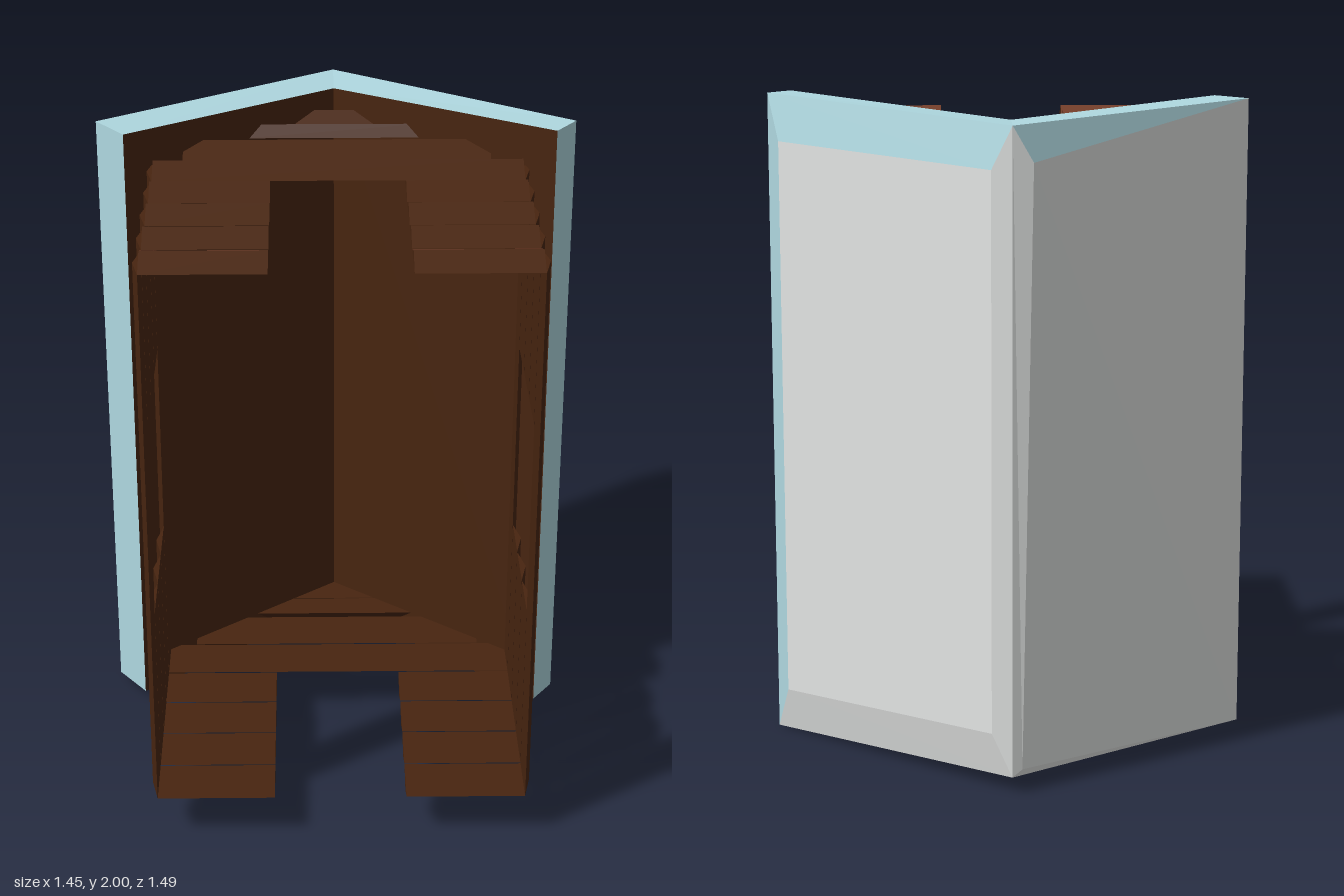
import * as THREE from 'three';

const mat = (name, color) => {
  const m = new THREE.MeshStandardMaterial({ color, side: THREE.DoubleSide });
  m.name = name;
  return m;
};

// Flat faces fanned into triangles, each turned away from a reference point
function facesMesh(name, material, faces, ref) {
  const origin = new THREE.Vector3(...ref);
  const positions = [];
  for (const face of faces) {
    const p = face.map((c) => new THREE.Vector3(...c));
    const normal = new THREE.Vector3();
    const mid = new THREE.Vector3();
    for (let i = 1; i < p.length - 1; i++) {
      normal.add(p[i].clone().sub(p[0]).cross(p[i + 1].clone().sub(p[0])));
    }
    p.forEach((v) => mid.addScaledVector(v, 1 / p.length));
    if (normal.dot(mid.sub(origin)) < 0) p.reverse();
    for (let i = 1; i < p.length - 1; i++) {
      for (const v of [p[0], p[i], p[i + 1]]) positions.push(v.x, v.y, v.z);
    }
  }
  const g = new THREE.BufferGeometry();
  g.setAttribute('position', new THREE.Float32BufferAttribute(positions, 3));
  g.computeVertexNormals();
  const mesh = new THREE.Mesh(g, material);
  mesh.name = name;
  return mesh;
}

export function createModel() {
  const model = new THREE.Group();
  model.name = 'logCabin';
  const redWood = mat('red wood', 0x743e2a);
  const darkWood = mat('dark wood', 0x482510);
  const trim = mat('pale blue trim', 0xafd8e0);
  const roofWhite = mat('roof white', 0xe4e6e5);

  // One triangular log: place(along, out, z) maps wall coordinates to space
  function log(name, place, a0, a1, zLow, zHigh, bulge, zRidge = (zLow + zHigh) / 2, top = redWood) {
    const end = (a) => [place(a, 0, zLow), place(a, bulge, zRidge), place(a, 0, zHigh)];
    const [l0, r0, h0] = end(a0);
    const [l1, r1, h1] = end(a1);
    const ref = place((a0 + a1) / 2, bulge / 3, (zLow + zHigh + zRidge) / 3);
    const g = new THREE.Group();
    g.name = name;
    g.add(
      facesMesh(name + 'Upper', top, [[r0, r1, h1, h0]], ref),
      facesMesh(name + 'Lower', darkWood,
        [[l0, l1, r1, r0], [l0, l1, h1, h0], [l0, r0, h0], [l1, r1, h1]], ref)
    );
    model.add(g);
  }

  const floorZ = 0.745, step = 0.178, gap = 0.004;
  const low = (i) => floorZ - i * step;
  const high = (i) => floorZ - (i + 1) * step + gap;
  const bottom = 0.145, topY = 1.865, xLeft = 0.565, xRight = -0.55;

  // Side walls with a window across three logs
  for (const [x, s] of [[xLeft, 1], [xRight, -1]]) {
    const place = (a, out, z) => [x + s * out, a, z];
    for (let i = 0; i < 5; i++) {
      const window = i > 0 && i < 4;
      const spans = window ? [[bottom, 0.695], [1.315, topY]] : [[bottom, topY]];
      for (const [a0, a1] of spans) log('sideLog', place, a0, a1, low(i), high(i), 0.019);
    }
  }

  // Gable walls with a doorway across four logs
  for (const [y, s] of [[topY, 1], [bottom, -1]]) {
    const place = (a, out, z) => [a, y + s * out, z];
    for (let i = 0; i < 4; i++) {
      log('gableLog', place, xRight, -0.195, low(i), high(i), 0.035);
      log('gableLog', place, 0.205, xLeft, low(i), high(i), 0.035);
    }
    log('lintelLog', place, xRight, xLeft, 0.032, -0.139, 0.035);
    log('gableLog', place, -0.465, 0.475, -0.144, -0.317, 0.035);
    log('gableLog', place, -0.28, 0.28, -0.342, -0.441, 0.035, -0.372);
    log('peakLog', place, -0.15, 0.15, -0.445, -0.565, 0.035, -0.505, darkWood);
  }

  // Roof corners, [lower end, upper end]
  const pair = (x, z, y0, y1) => [[x, y0, z], [x, y1, z]];
  const apex = pair(0, -0.745, 0.05, 1.955);
  const under = pair(0, -0.555, 0.05, 1.955);
  const eaves = [
    { out: pair(0.725, -0.11, 0, 2), inn: pair(0.66, -0.02, 0, 2) },
    { out: pair(-0.725, -0.165, 0.025, 1.985), inn: pair(-0.635, -0.045, 0.025, 1.985) },
  ];
  const ridgeL = pair(0.06, -0.73, 0.18, 1.83);
  const panelL = pair(0.69, -0.18, 0.14, 1.86);
  const ridgeR = [[-0.03, 0.07, -0.73], [-0.06, 1.85, -0.73]];
  const outR = eaves[1].out, outL = eaves[0].out;
  const strip = (a, b) => [a[0], a[1], b[1], b[0]];

  // White roof panels with bevelled edges
  model.add(facesMesh('roofPanels', roofWhite, [
    strip(ridgeL, panelL),
    strip(apex, ridgeL),
    [apex[0], ridgeL[0], panelL[0], outL[0]],
    strip(ridgeR, outR),
    strip(apex, ridgeR),
    [apex[0], ridgeR[0], outR[0]],
  ], [0, 1, -0.2]));

  // Blue bevels, eave edges and gable ends
  const blue = [
    [apex[1], ridgeL[1], panelL[1], outL[1]],
    strip(panelL, outL),
    [apex[1], ridgeR[1], outR[1]],
  ];
  for (const { out, inn } of eaves) {
    blue.push(strip(out, inn));
    for (const e of [0, 1]) blue.push([apex[e], out[e], inn[e], under[e]]);
  }
  model.add(facesMesh('roofTrim', trim, blue, [0, 1, -0.3]));

  // Wooden ceiling
  model.add(facesMesh('roofUnderside', darkWood,
    eaves.map(({ inn }) => strip(under, inn)), [0, 1, -2]));

  return model;
}
